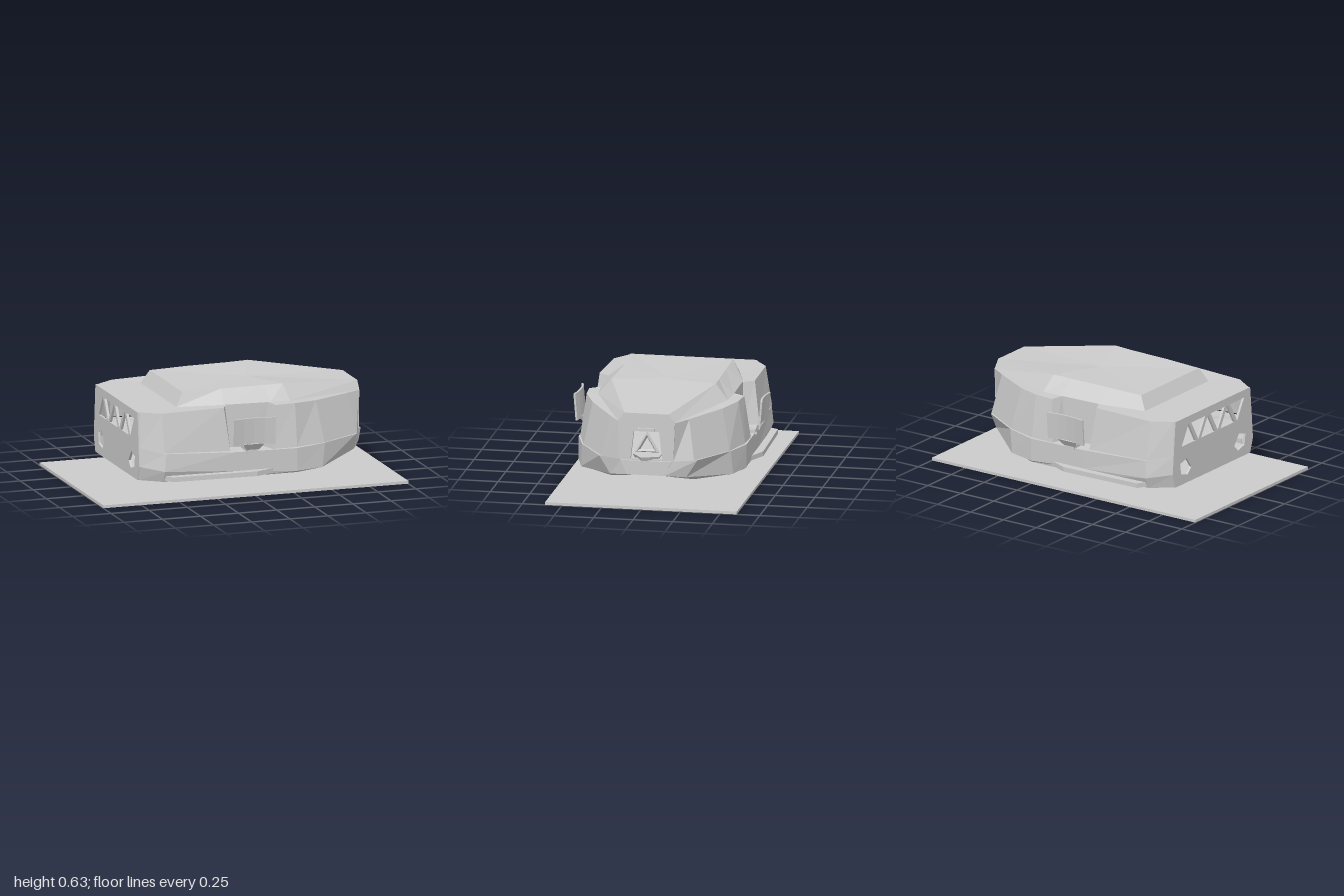
import * as THREE from 'three';

const material = new THREE.MeshStandardMaterial({
  color: 0xcccccc, flatShading: true, side: THREE.DoubleSide,
});

function add(parent, name, geometry) {
  const mesh = new THREE.Mesh(geometry, material);
  mesh.name = name;
  parent.add(mesh);
  return mesh;
}

// Mirrors a half outline (rear to front, z > 0) into a closed ring.
const ring = (half) => [...half, ...half.map(([x, y, z]) => [x, y, -z]).reverse()];

// Skins half outlines from bottom to top; openEnds leaves the nose and tail open.
function loft(halves, { bottom = false, top = false, openEnds = false } = {}) {
  const rings = halves.map(ring);
  const n = rings[0].length;
  const pos = [];
  const tri = (...pts) => pts.forEach((p) => pos.push(...p));
  for (let r = 0; r + 1 < rings.length; r++) {
    for (let i = 0; i < n; i++) {
      if (openEnds && (i === n / 2 - 1 || i === n - 1)) continue;
      const j = (i + 1) % n, a = rings[r], b = rings[r + 1];
      tri(a[i], a[j], b[j]);
      tri(a[i], b[j], b[i]);
    }
  }
  const cap = (loop, up) => {
    const c = [0, 1, 2].map((k) => loop.reduce((s, p) => s + p[k], 0) / n);
    for (let i = 0; i < n; i++) {
      const j = (i + 1) % n;
      if (up) tri(c, loop[i], loop[j]);
      else tri(c, loop[j], loop[i]);
    }
  };
  if (bottom) cap(rings[0], false);
  if (top) cap(rings[rings.length - 1], true);
  const g = new THREE.BufferGeometry();
  g.setAttribute('position', new THREE.Float32BufferAttribute(pos, 3));
  g.computeVertexNormals();
  return g;
}

const vectors = (pts) => pts.map(([a, b]) => new THREE.Vector2(a, b));

// Flat panel with holes, extruded by a small depth.
function panel(outline, holes, depth) {
  const shape = new THREE.Shape(vectors(outline));
  for (const h of holes) shape.holes.push(new THREE.Path(vectors(h)));
  return new THREE.ExtrudeGeometry(shape, { depth, bevelEnabled: false });
}

export function createModel() {
  const model = new THREE.Group();
  model.name = 'model';

  // Ground plate
  add(model, 'basePlate', new THREE.BoxGeometry(2, 0.018, 1.21)).position.y = 0.009;

  // Lower hull with a raised lip at the nose
  add(model, 'lowerHull', loft([
    [[-0.7, 0.11, 0.4], [-0.57, 0.11, 0.5], [-0.1, 0.11, 0.52], [0.3, 0.11, 0.52],
      [0.45, 0.11, 0.46], [0.62, 0.11, 0.26], [0.63, 0.12, 0.12]],
    [[-0.7, 0.2, 0.43], [-0.57, 0.18, 0.53], [-0.1, 0.15, 0.53], [0.3, 0.12, 0.53],
      [0.48, 0.12, 0.48], [0.77, 0.16, 0.24], [0.84, 0.18, 0.12]],
    [[-0.7, 0.32, 0.42], [-0.56, 0.29, 0.52], [-0.1, 0.27, 0.53], [0.3, 0.265, 0.53],
      [0.5, 0.27, 0.47], [0.76, 0.27, 0.31], [0.82, 0.27, 0.16]],
  ], { bottom: true, top: true, openEnds: true }));
  add(model, 'noseLip', panel(
    [[-0.12, 0.18], [0.12, 0.18], [0.16, 0.27], [-0.16, 0.27]], [], 0.02,
  ).rotateY(-Math.PI / 2)).position.x = 0.84;

  // Upper hull with a notch in each flank
  add(model, 'upperHull', loft([
    [[-0.7, 0.32, 0.42], [-0.57, 0.295, 0.52], [-0.14, 0.28, 0.525], [-0.11, 0.28, 0.43],
      [0.11, 0.27, 0.43], [0.14, 0.27, 0.525], [0.3, 0.27, 0.52],
      [0.5, 0.27, 0.46], [0.77, 0.27, 0.29], [0.82, 0.27, 0.17]],
    [[-0.69, 0.54, 0.4], [-0.57, 0.54, 0.48], [-0.17, 0.55, 0.49], [-0.14, 0.55, 0.42],
      [0.14, 0.545, 0.42], [0.17, 0.54, 0.49], [0.3, 0.54, 0.48],
      [0.46, 0.53, 0.41], [0.72, 0.52, 0.25], [0.82, 0.515, 0.18]],
  ], { top: true, openEnds: true }));

  // Bevelled roof sloping down to the nose
  add(model, 'roof', loft([
    [[-0.43, 0.54, 0.34], [-0.15, 0.55, 0.42], [0.16, 0.545, 0.42], [0.29, 0.54, 0.41],
      [0.82, 0.515, 0.18]],
    [[-0.38, 0.625, 0.31], [-0.13, 0.63, 0.32], [0.14, 0.632, 0.325], [0.27, 0.635, 0.33],
      [0.82, 0.57, 0.14]],
  ], { top: true }));

  // Nose wall with a tapered window
  add(model, 'noseWall', panel(
    [[-0.17, 0.27], [0.17, 0.27], [0.18, 0.515], [0.14, 0.57], [-0.14, 0.57], [-0.18, 0.515]],
    [[[-0.1, 0.28], [-0.08, 0.455], [0.08, 0.455], [0.1, 0.28]]], 0.02,
  ).rotateY(-Math.PI / 2)).position.x = 0.825;

  // Frame and step inside the window, with a small hood above it
  const frame = add(model, 'windowFrame', new THREE.TorusGeometry(0.07, 0.02, 4, 3));
  frame.rotation.set(0, Math.PI / 2, Math.PI / 2, 'YXZ');
  frame.position.set(0.79, 0.36, 0);
  add(model, 'windowStep', new THREE.CylinderGeometry(0.1, 0.05, 0.09, 5))
    .position.set(0.76, 0.25, 0);
  add(model, 'windowHood', new THREE.BoxGeometry(0.03, 0.015, 0.11))
    .position.set(0.825, 0.47, 0);

  // Tail wall: alternating triangles above, two vents below
  const holes = [];
  for (let i = 0; i < 6; i++) {
    const z = -0.26 + i * 0.104, up = i % 2 === 0;
    holes.push(up
      ? [[z - 0.075, 0.36], [z, 0.49], [z + 0.075, 0.36]]
      : [[z - 0.075, 0.49], [z + 0.075, 0.49], [z, 0.36]]);
  }
  for (const s of [-1, 1]) {
    holes.push([[0.23, 0.2], [0.28, 0.27], [0.35, 0.25], [0.34, 0.18], [0.27, 0.16]]
      .map(([z, y]) => [z * s, y]));
  }
  add(model, 'tailWall', panel(
    [[-0.4, 0.11], [0.4, 0.11], [0.43, 0.2], [0.42, 0.32], [0.4, 0.54],
      [-0.4, 0.54], [-0.42, 0.32], [-0.43, 0.2]], holes, 0.015,
  ).rotateY(-Math.PI / 2)).position.x = -0.69;

  for (const s of [1, -1]) {
    const side = new THREE.Group();
    side.name = s > 0 ? 'frontSide' : 'backSide';

    // Low side skirt, tapering towards the nose
    add(side, 'skirt', panel(
      [[-0.58, 0.48], [-0.53, 0.565], [0.02, 0.58], [0.16, 0.52]]
        .map(([x, z]) => [x, z * s]), [], 0.03,
    ).rotateX(Math.PI / 2)).position.y = 0.15;

    // Outrigger panel, bowed inwards along its length
    const plate = new THREE.BoxGeometry(0.27, 0.17, 0.012, 4, 1, 1);
    const p = plate.attributes.position;
    for (let i = 0; i < p.count; i++) {
      const x = p.getX(i), y = p.getY(i);
      p.setZ(i, p.getZ(i) + 0.9 * x * x + y * 0.08);
    }
    plate.computeVertexNormals();
    add(side, 'outriggerPanel', plate).position.set(0, 0.405, s * 0.567);
    if (s < 0) side.children[1].rotation.y = Math.PI;

    // Bracket from the notch floor up to the panel
    const bracket = new THREE.CylinderGeometry(0.1, 0.035, 0.075, 4, 1);
    bracket.rotateY(Math.PI / 4).scale(1, 1, 0.15).rotateX(s * 0.5);
    add(side, 'outriggerBracket', bracket).position.set(0, 0.295, s * 0.545);
    add(side, 'outriggerArm', new THREE.BoxGeometry(0.07, 0.03, 0.14))
      .position.set(0, 0.275, s * 0.475);
    model.add(side);
  }

  return model;
}
